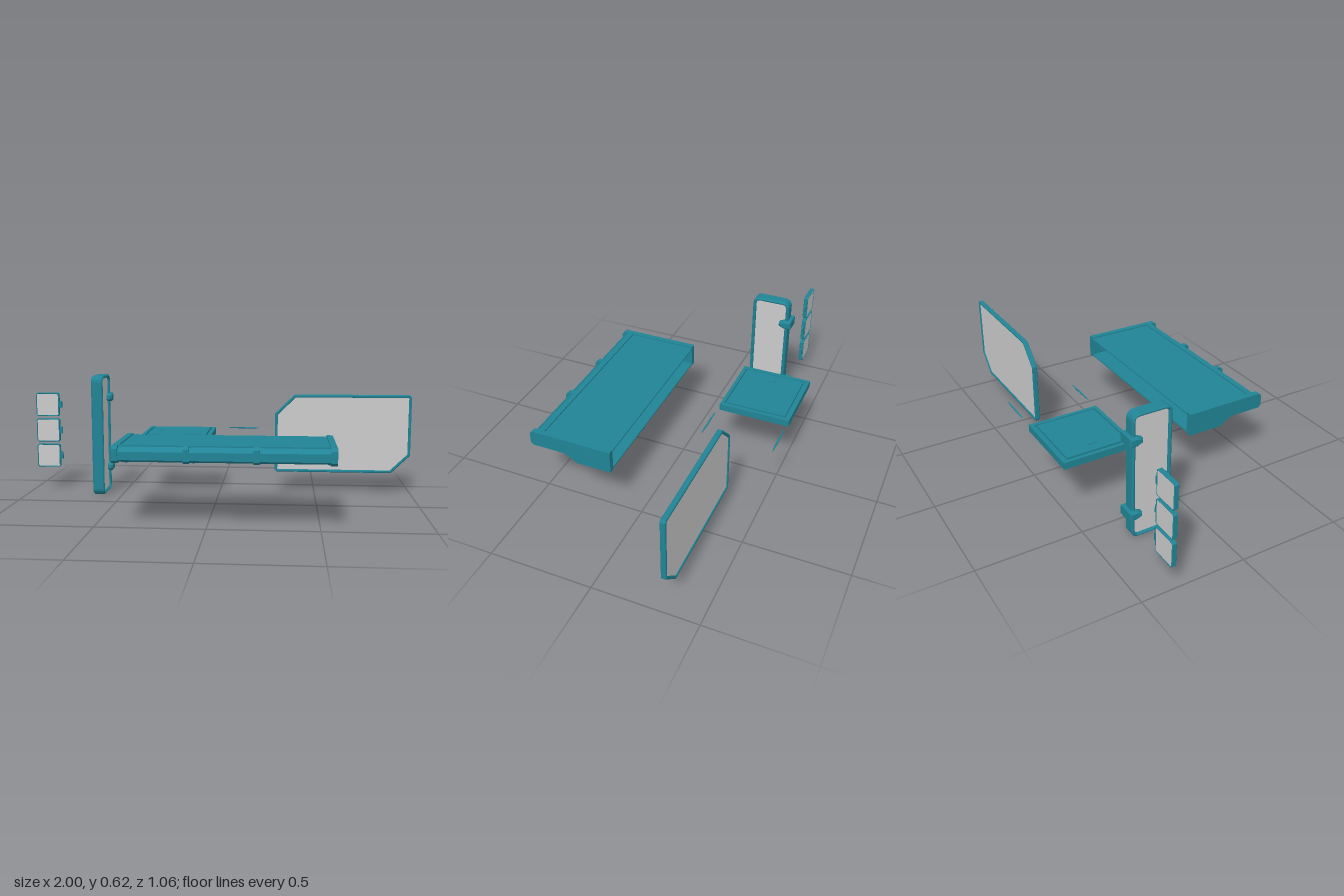
import * as THREE from 'three';

const teal = new THREE.MeshStandardMaterial({ color: 0x218496, flatShading: true });
const grey = new THREE.MeshStandardMaterial({ color: 0xcccccc, flatShading: true });

// Moves a counter-clockwise outline inward by d, with mitred corners
function inset(pts, d) {
  const n = pts.length;
  const normal = (a, b) => {
    const l = Math.hypot(b[0] - a[0], b[1] - a[1]);
    return [(a[1] - b[1]) / l, (b[0] - a[0]) / l];
  };
  return pts.map((p, i) => {
    const u = normal(pts[(i + n - 1) % n], p);
    const v = normal(p, pts[(i + 1) % n]);
    const k = d / (1 + u[0] * v[0] + u[1] * v[1]);
    return [p[0] + (u[0] + v[0]) * k, p[1] + (u[1] + v[1]) * k];
  });
}

const toVectors = (pts) => pts.map(([x, y]) => new THREE.Vector2(x, y));

// Outline extruded to a total depth, centred on its own plane
function slab(name, pts, depth, { bevel = 0, hole = null, material = teal } = {}) {
  const shape = new THREE.Shape(toVectors(pts));
  if (hole) shape.holes.push(new THREE.Path(toVectors(hole)));
  const geometry = new THREE.ExtrudeGeometry(shape, {
    depth: depth - 2 * bevel, bevelEnabled: bevel > 0, bevelSegments: 1,
    bevelSize: bevel, bevelThickness: bevel, bevelOffset: -bevel,
  });
  geometry.translate(0, 0, bevel - depth / 2);
  const mesh = new THREE.Mesh(geometry, material);
  mesh.name = name;
  return mesh;
}

// Same, for an outline drawn in (z, y) and extruded along x around cx
function sideSlab(name, pts, cx, width, options) {
  const mesh = slab(name, pts, width, options);
  mesh.rotation.y = -Math.PI / 2;
  mesh.position.x = cx;
  return mesh;
}

function box(name, x0, x1, y0, y1, z0, z1, material = teal) {
  const mesh = new THREE.Mesh(new THREE.BoxGeometry(x1 - x0, y1 - y0, z1 - z0), material);
  mesh.position.set((x0 + x1) / 2, (y0 + y1) / 2, (z0 + z1) / 2);
  mesh.name = name;
  return mesh;
}

function roundedRect(x0, x1, y0, y1, r, steps = 4) {
  const pts = [];
  const corners = [[x1 - r, y0 + r, -1], [x1 - r, y1 - r, 0], [x0 + r, y1 - r, 1], [x0 + r, y0 + r, 2]];
  for (const [cx, cy, q] of corners) {
    for (let i = 0; i <= steps; i++) {
      const a = (q + i / steps) * Math.PI / 2;
      pts.push([cx + r * Math.cos(a), cy + r * Math.sin(a)]);
    }
  }
  return pts;
}

// Rim with a recessed grey pane showing on both sides
function framedPane(name, pts, rim, depth, paneDepth, bevel) {
  const group = new THREE.Group();
  group.name = name;
  group.add(slab(name + 'Frame', pts, depth, { bevel, hole: inset(pts, rim) }));
  group.add(slab(name + 'Pane', inset(pts, rim * 0.7), paneDepth, { material: grey }));
  return group;
}

function buildCanopy() {
  const group = new THREE.Group();
  group.name = 'canopy';
  const back = 0.115, x0 = -0.412, x1 = 0.565, cx = (x0 + x1) / 2;
  const profile = [[back, 0.254], [0.285, 0.254], [0.352, 0.291], [0.513, 0.291],
    [0.525, 0.303], [0.525, 0.354], [0.512, 0.367], [back, 0.367]];
  const bayProfile = profile.map((p) => (p[0] === 0.512 ? [0.495, 0.367] : p));
  bayProfile[5] = [0.525, 0.345];

  // Open strip following a profile between two inset depths
  const strip = (outline, a, b, topEnd) => {
    const line = (d) => inset(outline, d).map((p, i, all) => (
      i === 0 ? [back, p[1]] : i === all.length - 1 ? [topEnd, p[1]] : p));
    return [...line(a), ...line(b).reverse()];
  };

  // Hollow skin, open at the back
  group.add(sideSlab('canopySkin', strip(bayProfile, 0.006, 0.012, back), cx, x1 - x0 - 0.04));
  // Solid end plates
  for (const x of [x0 + 0.014, x1 - 0.014]) {
    group.add(sideSlab('canopyEndPlate', profile, x, 0.028));
  }
  // Ribs wrapping the front and underside
  for (const x of [-0.085, 0.22]) {
    group.add(sideSlab('canopyRib', strip(profile, 0, 0.012, 0.465), x, 0.026));
  }
  // Lip along the front of the top
  group.add(box('canopyLip', x0 + 0.02, x1 - 0.02, 0.357, 0.367, 0.461, 0.489));
  return group;
}

function buildDoor() {
  const group = new THREE.Group();
  group.name = 'door';
  const leaf = framedPane('doorLeaf', roundedRect(-0.335, -0.142, 0, 0.62, 0.034), 0.016, 0.06, 0.036, 0.006);
  leaf.rotation.y = -Math.PI / 2;
  leaf.position.x = -0.62;
  // Leaf outline is drawn in (z, y)
  group.add(leaf);
  // Chamfered hinge blocks clasping the rear edge
  for (const y of [0.125, 0.497]) {
    const hinge = [[-0.354, y - 0.022], [-0.315, y - 0.022], [-0.29, y - 0.01],
      [-0.29, y + 0.01], [-0.315, y + 0.022], [-0.354, y + 0.022]];
    group.add(sideSlab('doorHinge', hinge, -0.62, 0.09, { bevel: 0.008 }));
  }
  return group;
}

function buildHatch() {
  const group = new THREE.Group();
  group.name = 'hatch';
  const x0 = -0.402, x1 = -0.038, z0 = -0.528, z1 = -0.176;
  group.add(box('hatchBase', x0, x1, 0.28, 0.305, z0, z1));
  // Raised border around the lid
  const outer = [[x0, -z1], [x1, -z1], [x1, -z0], [x0, -z0]];
  const border = slab('hatchBorder', outer, 0.012, { hole: inset(outer, 0.018) });
  border.rotation.x = -Math.PI / 2;
  border.position.y = 0.308;
  group.add(border);
  group.add(box('hatchLid', x0 + 0.028, x1 - 0.028, 0.3, 0.316, z0 + 0.028, z1 - 0.028));
  group.add(box('hatchHandle', -0.33, -0.313, 0.31, 0.319, -0.368, -0.332));
  return group;
}

export function createModel() {
  const model = new THREE.Group();
  model.add(buildCanopy(), buildDoor(), buildHatch());

  // Large window with two clipped corners
  const outline = [[0.29, 0.115], [0.3, 0.105], [0.9, 0.105], [0.997, 0.2], [0.997, 0.506],
    [0.988, 0.516], [0.392, 0.516], [0.29, 0.415]];
  const window = framedPane('window', outline, 0.014, 0.024, 0.014, 0.003);
  window.position.z = -0.339;
  model.add(window);

  // Stack of small flaps, each with a side tab
  for (const y of [0.173, 0.312, 0.451]) {
    const flap = framedPane('flap', roundedRect(-1, -0.874, y - 0.063, y + 0.063, 0.008, 1), 0.006, 0.022, 0.019, 0.002);
    flap.position.z = -0.352;
    model.add(flap, box('flapTab', -0.878, -0.86, y - 0.018, y + 0.018, -0.358, -0.346));
  }

  // Slim tapered pins
  for (const z of [-0.526, -0.179]) {
    const points = toVectors([[0, 0], [0.003, 0.004], [0.005, 0.08], [0.005, 0.12], [0.002, 0.168], [0, 0.17]]);
    const pin = new THREE.Mesh(new THREE.LatheGeometry(points, 6), teal);
    pin.rotation.z = -Math.PI / 2;
    pin.position.set(0.035, 0.312, z);
    pin.name = 'pin';
    model.add(pin);
  }
  return model;
}
